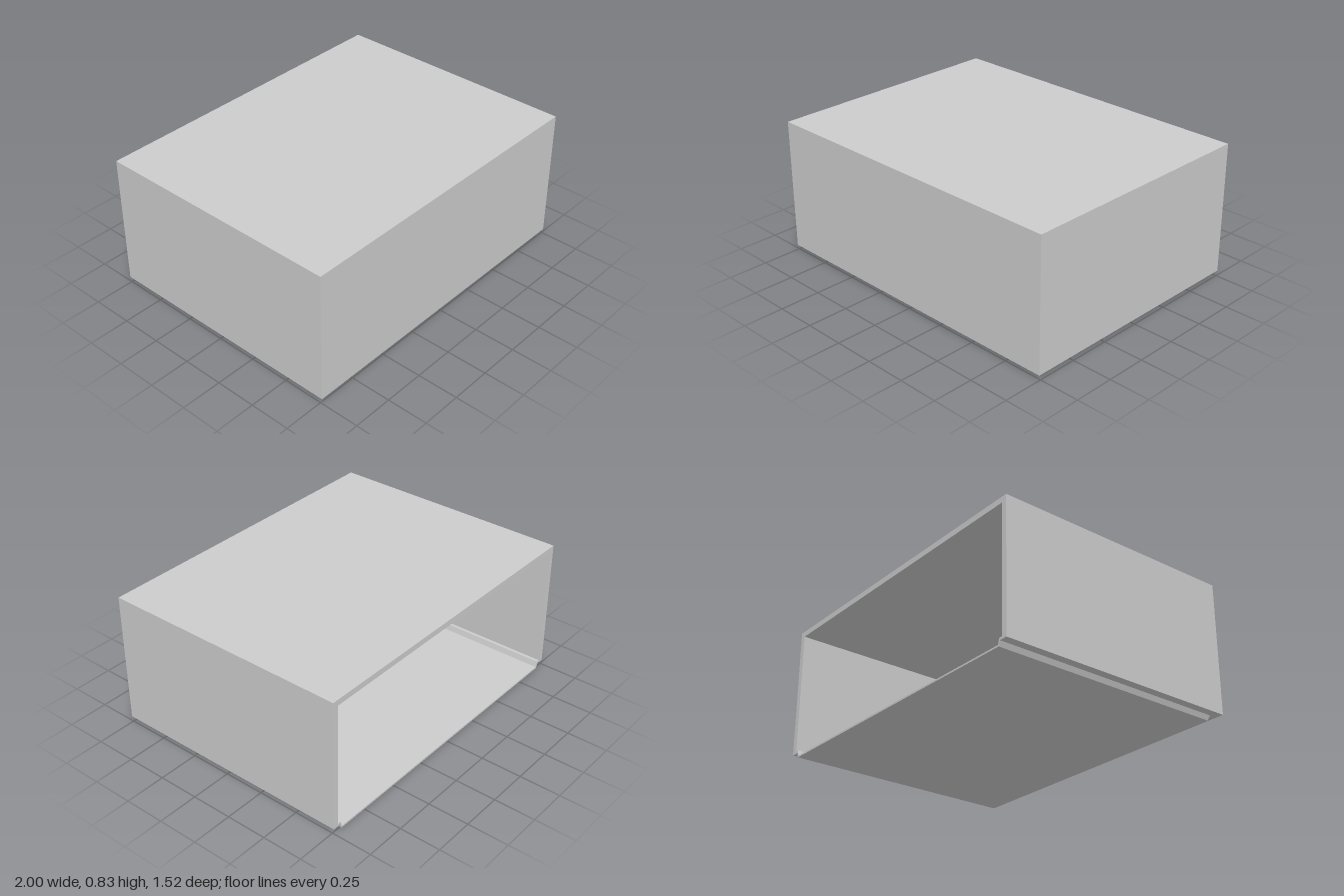
import * as THREE from 'three';

const W = 1, D = 0.76, TOP = 0.835, WALL = 0.035;

// Sweeps an [inset, height] profile around the two sides and the front, with mitred corners.
function sweepWalls(profile) {
  const stations = [
    d => [W - d, -D], d => [W - d, D - d],
    d => [d - W, D - d], d => [d - W, -D],
  ];
  const n = profile.length, pos = [], index = [];
  for (const at of stations) {
    for (const [d, y] of profile) {
      const [x, z] = at(d);
      pos.push(x, y, z);
    }
  }
  for (let s = 0; s < 3; s++) {
    for (let p = 0; p < n; p++) {
      const q = (p + 1) % n;
      const a = s * n + p, b = s * n + q, c = (s + 1) * n + q, e = (s + 1) * n + p;
      index.push(a, e, c, a, c, b);
    }
  }
  // cut ends at the open back
  const outline = profile.map(([d, y]) => new THREE.Vector2(d, y));
  for (const [a, b, c] of THREE.ShapeUtils.triangulateShape(outline, [])) {
    index.push(a, b, c, 3 * n + a, 3 * n + c, 3 * n + b);
  }
  const geo = new THREE.BufferGeometry();
  geo.setAttribute('position', new THREE.Float32BufferAttribute(pos, 3));
  geo.setIndex(index);
  const flat = geo.toNonIndexed();
  flat.computeVertexNormals();
  return flat;
}

export function createModel() {
  const group = new THREE.Group();
  group.name = 'openBackedBox';
  const material = new THREE.MeshStandardMaterial({ color: 0xcccccc, flatShading: true });
  const add = (name, geometry) => {
    const mesh = new THREE.Mesh(geometry, material);
    mesh.name = name;
    group.add(mesh);
    return mesh;
  };

  // side and front walls, with the ledge and sloped lip that hold the floor
  add('walls', sweepWalls([
    [0, TOP - WALL], [0, 0.03], [0.05, 0.03], [0.06, 0], [0.07, 0],
    [0.07, 0.01], [0.065, 0.01], [0.055, 0.045], [WALL, 0.045], [WALL, TOP - WALL],
  ]));

  // roof panel
  add('roof', new THREE.BoxGeometry(2 * W, WALL, 2 * D)).position.y = TOP - WALL / 2;

  // thin sunken floor, running out to the open back
  const inset = 0.07;
  add('floor', new THREE.BoxGeometry(2 * (W - inset), 0.01, 2 * D - inset))
    .position.set(0, 0.005, -inset / 2);

  return group;
}
